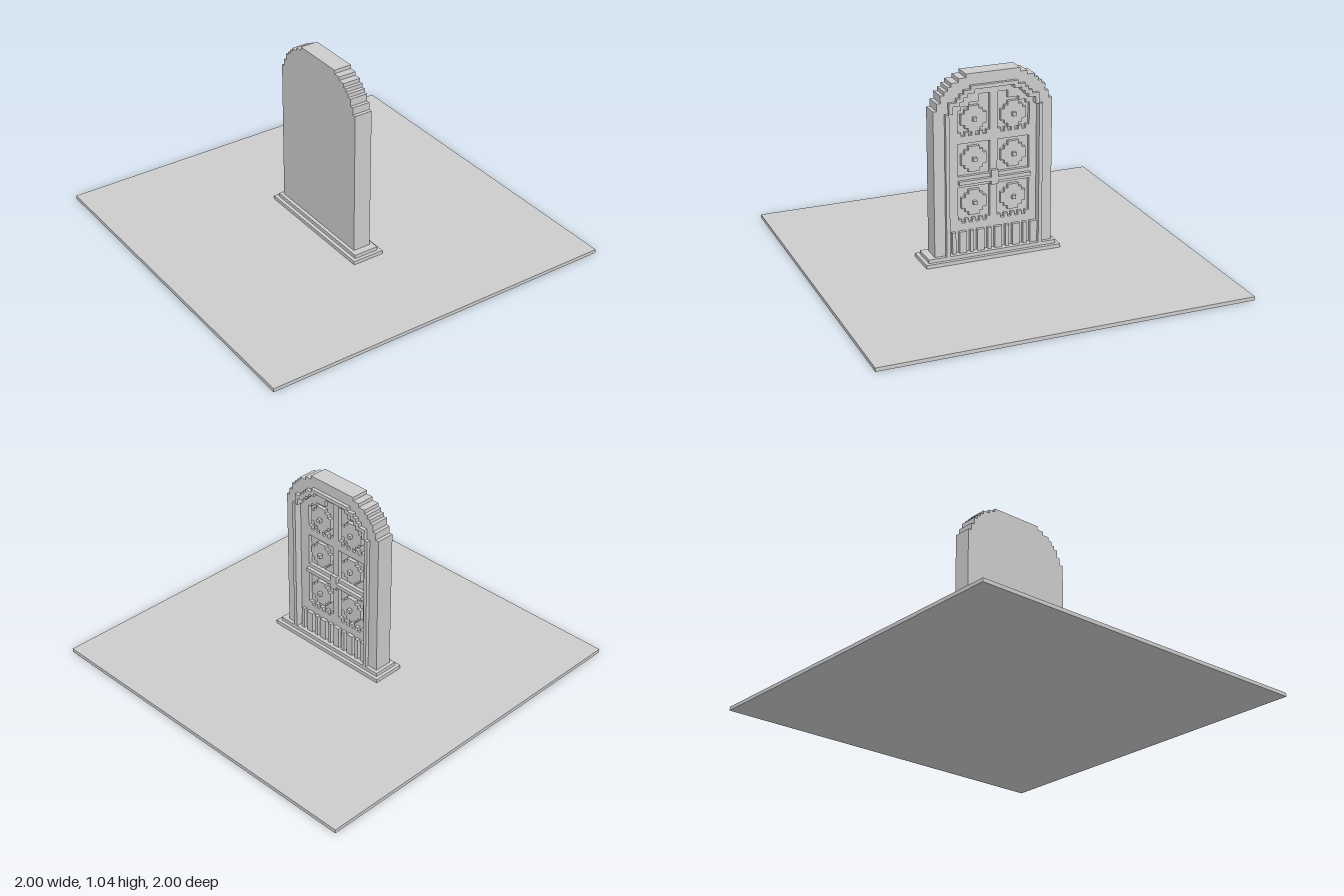
import * as THREE from 'three';

const material = new THREE.MeshStandardMaterial({ color: 0xcccccc, flatShading: true });

// Stepped arch outline: steps are [halfWidth, top] from the outside in. The u axis is -z.
function archPoints(cu, bottom, steps) {
  const half = [[steps[0][0], bottom]];
  steps.forEach(([w, top], i) => {
    half.push([w, top]);
    if (i < steps.length - 1) half.push([steps[i + 1][0], top]);
  });
  const right = half.map(([w, y]) => new THREE.Vector2(cu + w, y));
  const left = half.map(([w, y]) => new THREE.Vector2(cu - w, y)).reverse();
  return [...right, ...left];
}

const rectPoints = (u0, u1, y0, y1) =>
  [[u0, y0], [u1, y0], [u1, y1], [u0, y1]].map(([u, y]) => new THREE.Vector2(u, y));

// Stepped round medallion outline
function medallionPoints(cu, cy) {
  const quarter = [[0.07, 0.03], [0.05, 0.03], [0.05, 0.05], [0.03, 0.05], [0.03, 0.07]];
  const pts = [];
  for (let q = 0; q < 4; q++) {
    for (const [a, b] of quarter) {
      const [u, v] = [[a, b], [-b, a], [-a, -b], [b, -a]][q];
      pts.push(new THREE.Vector2(cu + u, cy + v));
    }
  }
  return pts;
}

export function createModel() {
  const group = new THREE.Group();

  // Extrudes an outline in the (u, y) plane from x0 to x1
  function slab(name, points, x0, x1, holes = []) {
    const shape = new THREE.Shape(points);
    shape.holes = holes.map((h) => new THREE.Path(h));
    const geo = new THREE.ExtrudeGeometry(shape, { depth: x1 - x0, bevelEnabled: false });
    geo.rotateY(Math.PI / 2).translate(x0, 0, 0);
    const mesh = new THREE.Mesh(geo, material);
    mesh.name = name;
    group.add(mesh);
  }

  function box(name, x0, x1, y0, y1, z0, z1) {
    const mesh = new THREE.Mesh(new THREE.BoxGeometry(x1 - x0, y1 - y0, z1 - z0), material);
    mesh.position.set((x0 + x1) / 2, (y0 + y1) / 2, (z0 + z1) / 2);
    mesh.name = name;
    group.add(mesh);
  }

  // Ground plate and two threshold steps
  box('groundPlate', -1, 1, 0, 0.02, -1, 1);
  box('lowerStep', -0.12, 0.06, 0.02, 0.04, -0.36, 0.4);
  box('upperStep', -0.1, 0.04, 0.04, 0.06, -0.34, 0.38);

  // Arched wall, surround and raised trim
  const outer = archPoints(-0.01, 0.06, [[0.33, 0.86], [0.31, 0.9], [0.29, 0.94], [0.27, 0.96],
    [0.25, 0.98], [0.23, 1], [0.19, 1.02], [0.15, 1.04]]);
  const trimOuter = archPoints(-0.01, 0.06, [[0.27, 0.84], [0.25, 0.9], [0.21, 0.92],
    [0.19, 0.94], [0.17, 0.96], [0.13, 0.98]]);
  const trimInner = archPoints(-0.01, 0.06, [[0.25, 0.84], [0.23, 0.88], [0.19, 0.9],
    [0.17, 0.92], [0.15, 0.94], [0.11, 0.96]]);
  slab('backWall', outer, -0.08, -0.02);
  slab('surround', outer, -0.02, 0.02, [trimOuter]);
  slab('archTrim', trimOuter, -0.02, 0.04, [trimInner]);

  // Door leaves with six sunken panels
  const panels = [];
  for (const s of [-1, 1]) {
    panels.push(rectPoints(s * 0.02, s * 0.2, 0.22, 0.42));
    panels.push(rectPoints(s * 0.02, s * 0.2, 0.48, 0.66));
    panels.push([[0.02, 0.7], [0.2, 0.7], [0.2, 0.84], [0.18, 0.84], [0.18, 0.86], [0.14, 0.86],
      [0.14, 0.88], [0.08, 0.88], [0.08, 0.92], [0.02, 0.92]]
      .map(([u, y]) => new THREE.Vector2(s * u, y)));
  }
  slab('doorLeaves', trimInner, -0.02, 0, panels);

  // Medallions with a centre boss, and bead rows along the panel bottoms
  for (const s of [-1, 1]) {
    for (const y of [0.33, 0.57, 0.79]) {
      slab('medallion', medallionPoints(s * 0.11, y), -0.02, 0);
      box('medallionBoss', 0, 0.02, y - 0.01, y + 0.01, s * 0.11 - 0.01, s * 0.11 + 0.01);
    }
    for (const y of [0.22, 0.7]) {
      for (let i = 0; i < 5; i++) {
        const z = s * (0.03 + i * 0.04);
        box('bead', -0.02, 0, y, y + 0.02, z - 0.01, z + 0.01);
      }
    }
  }

  // Middle rail and handle
  box('middleRail', 0, 0.02, 0.44, 0.46, -0.2, 0.2);
  box('doorHandle', 0, 0.02, 0.42, 0.5, -0.02, 0.02);

  // Alternating narrow and wide slats along the foot of the door
  for (let i = 0; i < 5; i++) {
    const z = 0.24 - i * 0.1;
    box('narrowSlat', 0, 0.02, 0.06, 0.18, z - 0.02, z);
    box('wideSlat', 0, 0.02, 0.06, 0.18, z - 0.08, z - 0.04);
  }
  return group;
}
